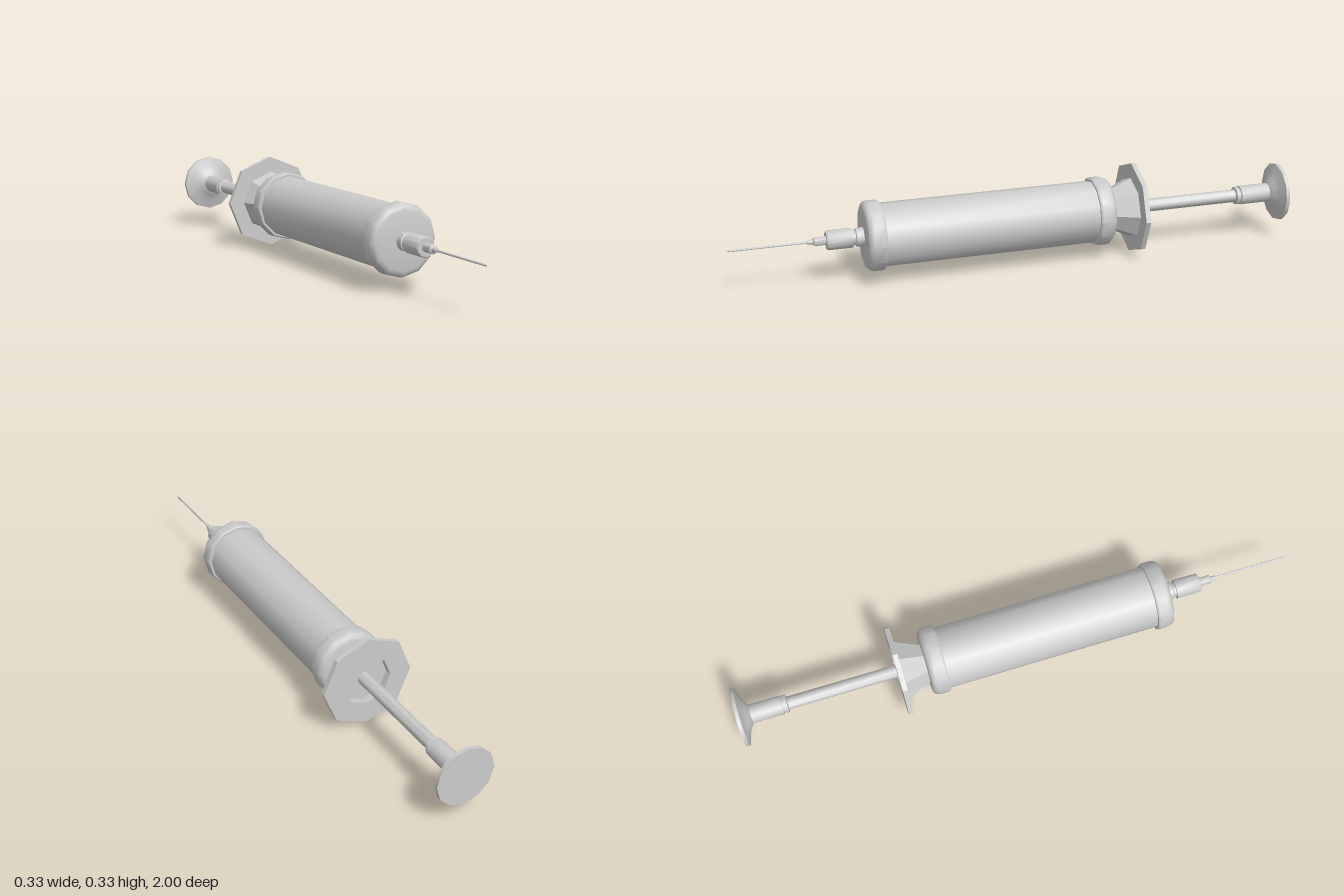
import * as THREE from 'three';
import { toCreasedNormals } from 'three/addons/utils/BufferGeometryUtils.js';

const AXIS_Y = 0.165;

export function createModel() {
  const model = new THREE.Group();
  const material = new THREE.MeshStandardMaterial({ color: 0xcccccc });

  // Turned part along z: profile of [radius, z] pairs, outside running from back to front
  function turned(name, profile, sides) {
    const points = profile.map(([r, z]) => new THREE.Vector2(r, z));
    const geometry = new THREE.LatheGeometry(points, sides).rotateX(Math.PI / 2);
    const mesh = new THREE.Mesh(toCreasedNormals(geometry, 0.7), material);
    mesh.name = name;
    mesh.position.y = AXIS_Y;
    model.add(mesh);
  }

  // Plunger: thumb disc flaring into the grip, a stepped collar, then the rod
  turned('thumbDisc', [
    [0, -1], [0.104, -1], [0.104, -0.987], [0.075, -0.978],
    [0.05, -0.968], [0.034, -0.955], [0, -0.955],
  ], 12);
  turned('plungerGrip', [
    [0, -0.975], [0.034, -0.975], [0.034, -0.845], [0.027, -0.845], [0.027, -0.84],
    [0.032, -0.84], [0.032, -0.828], [0.023, -0.825], [0, -0.825],
  ], 12);
  turned('plungerRod', [[0, -0.83], [0.023, -0.83], [0.023, -0.35], [0, -0.35]], 12);

  // Octagonal finger flange with a shallow recess and tapered neck
  turned('fingerFlange', [
    [0, -0.415], [0.087, -0.415], [0.087, -0.44], [0.165, -0.44], [0.165, -0.423],
    [0.11, -0.423], [0.07, -0.335], [0, -0.335],
  ], 8);

  // Barrel and its rounded end caps
  turned('barrel', [[0, -0.32], [0.11, -0.32], [0.11, 0.52], [0, 0.52]], 12);
  const cap = [
    [0, 0], [0.1, 0], [0.111, 0.003], [0.119, 0.011], [0.122, 0.022],
    [0.122, 0.056], [0.118, 0.062], [0.108, 0.062],
  ];
  turned('rearCap', cap.map(([r, d]) => [r, -0.338 + d]), 12);
  turned('frontCap', cap.map(([r, d]) => [r, 0.54 - d]).reverse(), 12);

  // Nozzle collar, needle hub and stepped tip
  turned('nozzle', [
    [0, 0.53], [0.032, 0.53], [0.032, 0.565], [0.026, 0.568], [0.026, 0.59], [0, 0.59],
  ], 12);
  turned('needleHub', [
    [0, 0.578], [0.034, 0.578], [0.034, 0.662], [0.031, 0.667], [0.015, 0.667],
    [0.015, 0.708], [0.009, 0.712], [0.007, 0.73], [0, 0.73],
  ], 12);
  turned('needle', [[0, 0.72], [0.004, 0.72], [0.004, 0.992], [0, 1]], 8);

  return model;
}
